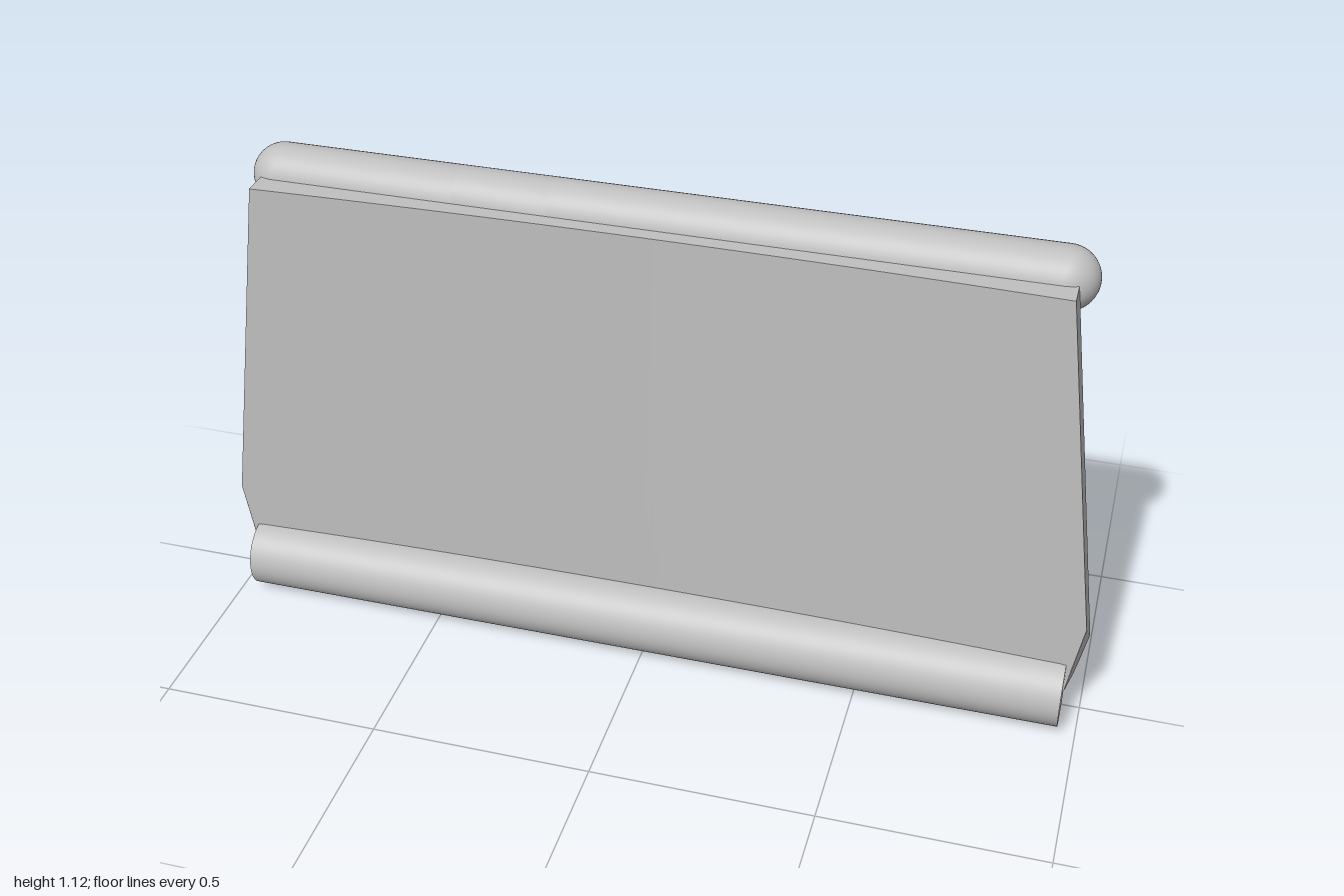
import * as THREE from 'three';

const grey = new THREE.MeshStandardMaterial({ color: 0xc0c0c0, side: THREE.DoubleSide });
grey.name = 'light grey';

// Builds a smooth grid surface from rows of equal length
function grid(rows) {
  const n = rows[0].length, index = [];
  for (let i = 0; i < rows.length - 1; i++) {
    for (let j = 0; j < n - 1; j++) {
      const a = i * n + j, b = a + 1, c = a + n, d = c + 1;
      index.push(a, c, b, b, c, d);
    }
  }
  const g = new THREE.BufferGeometry();
  g.setAttribute('position', new THREE.Float32BufferAttribute(rows.flat(2), 3));
  g.setIndex(index);
  g.computeVertexNormals();
  return g;
}

// Convex flat plate as a fan of triangles
function plate(points) {
  const pos = [];
  for (let i = 1; i < points.length - 1; i++) pos.push(...points[0], ...points[i], ...points[i + 1]);
  const g = new THREE.BufferGeometry();
  g.setAttribute('position', new THREE.Float32BufferAttribute(pos, 3));
  g.computeVertexNormals();
  return g;
}

// Arc in the z-y plane, as [z, y] pairs; angles in degrees from +z towards +y
function arc(cz, cy, r, a0, a1, n = 40) {
  return Array.from({ length: n + 1 }, (_, i) => {
    const a = THREE.MathUtils.degToRad(a0 + (a1 - a0) * i / n);
    return [cz + r * Math.cos(a), cy + r * Math.sin(a)];
  });
}

const at = (x, profile) => profile.map(([z, y]) => [x, y, z]);
const sweep = (profile, x0, x1) => grid([at(x0, profile), at(x1, profile)]);

function add(parent, name, geometry) {
  const mesh = new THREE.Mesh(geometry, grey);
  mesh.name = name;
  parent.add(mesh);
  return mesh;
}

function group(parent, name) {
  const g = new THREE.Group();
  g.name = name;
  parent.add(g);
  return g;
}

export function createModel() {
  const model = new THREE.Group();
  model.name = 'foldedPanel';

  // Slightly hollowed front sheet and its folded top edge
  const pan = group(model, 'pan');
  const D = 0.062;
  const cols = Array.from({ length: 25 }, (_, i) => i / 12 - 1);
  const row = (y, w, flat) => cols.map(u => [u * w, y, flat ? 0 : D - 0.018 * (1 - u * u)]);
  add(pan, 'frontSheet', grid([row(1.07, 0.88), row(0.27, 0.992), row(0.165, 0.974)]));
  add(pan, 'topFold', grid([row(1.07, 0.88, true), row(1.07, 0.88)]));

  // Side folds, back flanges and lower tabs
  for (const s of [1, -1]) {
    const side = group(pan, s > 0 ? 'leftEdge' : 'rightEdge');
    const p = (...pts) => plate(pts.map(([x, y, z]) => [s * x, y, z]));
    add(side, 'sideFold', p([0.88, 1.07, D], [0.88, 1.07, 0], [1, 0.21, 0], [0.992, 0.27, D]));
    add(side, 'lowerSideFold', p([0.992, 0.27, D], [1, 0.21, 0], [0.975, 0.09, 0], [0.962, 0.09, D]));
    add(side, 'backFlange', p([0.88, 1.07, 0], [1, 0.21, 0], [0.985, 0.135, 0], [0.88, 0.13, 0]));
    add(side, 'tabBack', p([0.96, 0.135, 0], [0.985, 0.135, 0], [0.975, 0.09, 0], [0.96, 0.09, 0]));
    add(side, 'tabFront', p([0.95, 0.167, D], [0.974, 0.167, D], [0.962, 0.09, D], [0.95, 0.09, D]));
    add(side, 'tabBottom', p([0.95, 0.09, D], [0.962, 0.09, D], [0.975, 0.09, 0], [0.95, 0.09, 0]));
  }

  // Bottom gutter, open at the back, with flat ends
  const gutter = group(model, 'gutter');
  const gz = 0.047, gy = 0.083, gr = 0.083, gx = 0.96, cut = 124.5;
  add(gutter, 'gutterWall', sweep(arc(gz, gy, gr, 95, -cut), -gx, gx));
  for (const x of [gx, -gx]) add(gutter, 'gutterEnd', plate(at(x, arc(gz, gy, gr, cut, -cut))));

  // Round top bar with domed ends
  const bar = group(model, 'topBar');
  const r = 0.069, by = 1.054, bz = -0.058, half = 0.85;
  const slot = [-0.44, -0.23];
  add(bar, 'barLongPart', sweep(arc(bz, by, r, 0, 360), slot[1], half));
  add(bar, 'barShortPart', sweep(arc(bz, by, r, 0, 360), -half, slot[0]));
  for (const s of [1, -1]) {
    const dome = add(bar, 'barEnd', new THREE.SphereGeometry(r, 40, 12, 0, Math.PI * 2, 0, Math.PI / 2));
    dome.rotation.z = -s * Math.PI / 2;
    dome.position.set(s * half, by, bz);
  }

  // Pocket notched into the back of the bar
  const open = arc(bz, by, r, 235, 535);
  const [lowEdge, highEdge] = [open[0], open[open.length - 1]];
  const floorZ = bz - 0.03;
  add(bar, 'barAroundPocket', sweep(open, ...slot));
  add(bar, 'pocketCeiling', sweep([highEdge, [floorZ, highEdge[1]]], ...slot));
  add(bar, 'pocketFloor', sweep([[floorZ, highEdge[1]], [floorZ, lowEdge[1]], lowEdge], ...slot));
  for (const x of slot) add(bar, 'pocketEnd', plate(at(x, arc(bz, by, r, 0, 360))));

  return model;
}
